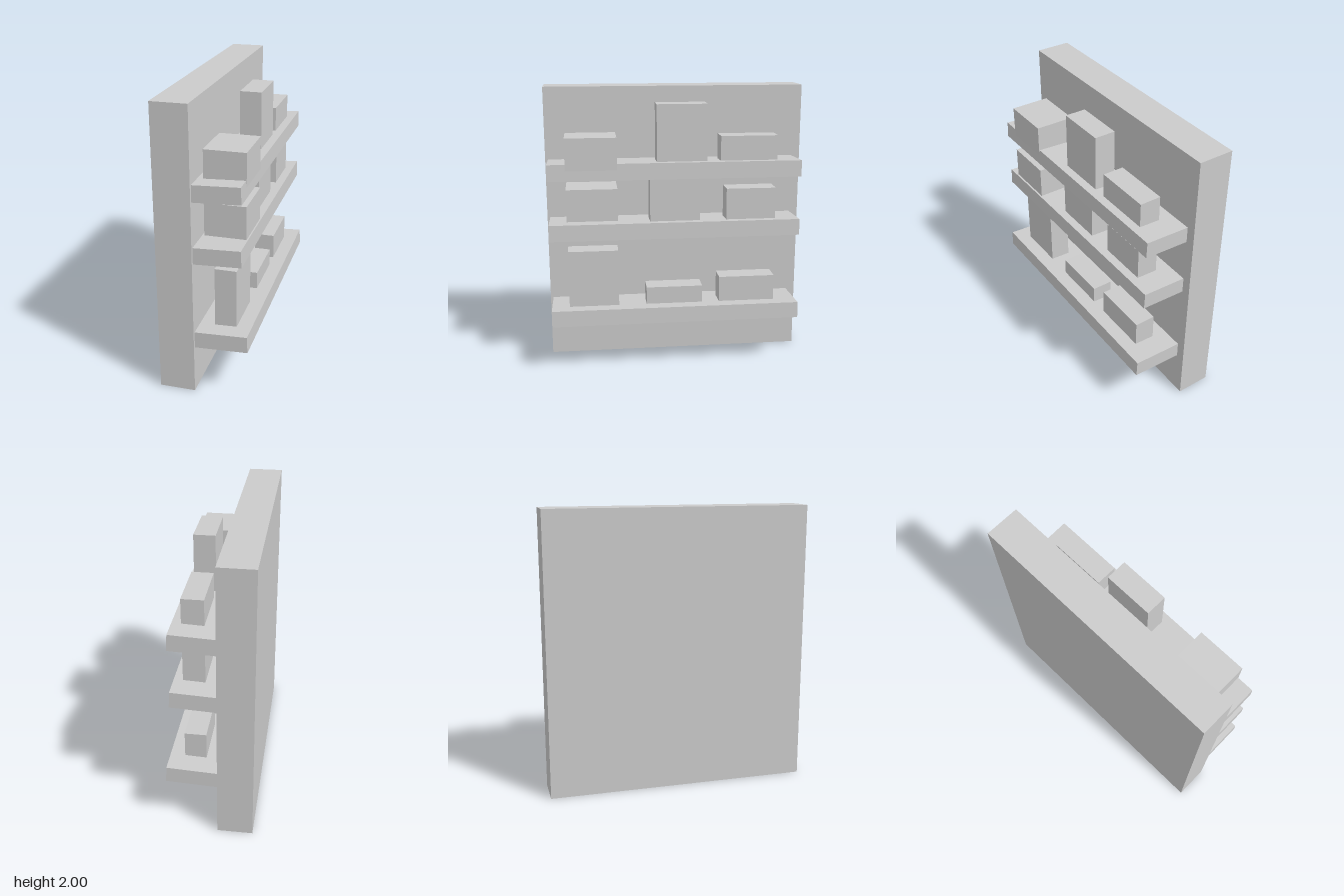
import * as THREE from 'three';

const material = new THREE.MeshStandardMaterial({ color: 0xcccccc, flatShading: true });

// Box given by its extents along each axis
function block(name, [x0, x1], [y0, y1], [z0, z1]) {
  const mesh = new THREE.Mesh(new THREE.BoxGeometry(x1 - x0, y1 - y0, z1 - z0), material);
  mesh.name = name;
  mesh.position.set((x0 + x1) / 2, (y0 + y1) / 2, (z0 + z1) / 2);
  return mesh;
}

// Shelf board tilted slightly upwards, its back end sunk into the wall panel
function shelf(frontX, frontTop) {
  const tilt = 0.045, thick = 0.115, length = frontX + 0.12;
  const geometry = new THREE.BoxGeometry(length, thick, 1.775);
  geometry.translate(-length / 2, -thick / 2, 0);
  const mesh = new THREE.Mesh(geometry, material);
  mesh.name = 'shelfBoard';
  mesh.rotation.z = tilt;
  mesh.position.set(frontX, frontTop, 0.0225);
  return mesh;
}

const narrow = [0.045, 0.195], wide = [-0.02, 0.26];

// Each shelf with the blocks on it: depth, height range, span along z
const rows = [
  { frontX: 0.297, top: 0.46, items: [
    [narrow, [0.41, 0.865], [0.43, 0.785]],
    [narrow, [0.41, 0.58], [-0.175, 0.23]],
    [narrow, [0.41, 0.64], [-0.705, -0.3]],
  ] },
  { frontX: 0.256, top: 1.075, items: [
    [wide, [1.1, 1.325], [0.43, 0.785]],
    [narrow, [1.03, 1.45], [-0.155, 0.2]],
    [narrow, [1.03, 1.295], [-0.7, -0.345]],
  ] },
  { frontX: 0.256, top: 1.5, items: [
    [wide, [1.455, 1.68], [0.43, 0.785]],
    [narrow, [1.45, 1.895], [-0.205, 0.15]],
    [narrow, [1.45, 1.67], [-0.705, -0.3]],
  ] },
];

export function createModel() {
  const model = new THREE.Group();
  model.name = 'wallShelf';

  // Upright panel
  model.add(block('backPanel', [-0.305, -0.06], [0, 2], [-0.93, 0.93]));

  // Shelves and their contents
  for (const { frontX, top, items } of rows) {
    const group = new THREE.Group();
    group.name = 'shelf';
    group.add(shelf(frontX, top));
    for (const item of items) group.add(block('shelfItem', ...item));
    model.add(group);
  }
  return model;
}
